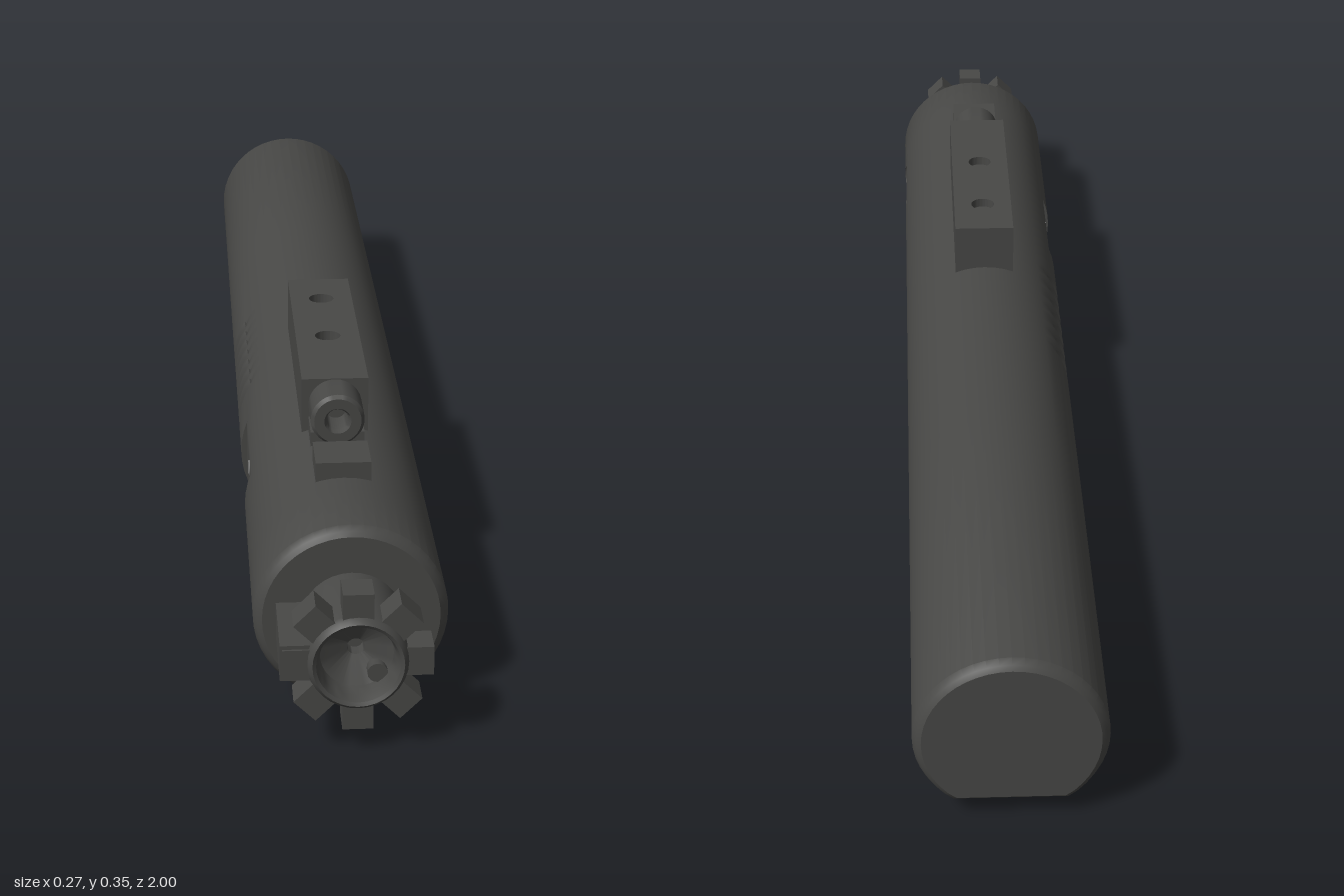
import * as THREE from 'three';
import { toCreasedNormals } from 'three/addons/utils/BufferGeometryUtils.js';

const R = 0.1365, CY = 0.137, SIDES = 48;
const SLOT = { back: 0.55, front: 0.74, half: R * Math.sin(Math.PI / 12) };
const mat = new THREE.MeshStandardMaterial({ color: 0x484846, side: THREE.DoubleSide });
const pinMat = new THREE.MeshStandardMaterial({ color: 0xaaaaaa });

function add(parent, name, geo, x = 0, y = 0, z = 0, material = mat) {
  const mesh = new THREE.Mesh(geo, material);
  mesh.name = name;
  mesh.position.set(x, y, z);
  parent.add(mesh);
  return mesh;
}

// Lathe profile of [radius, z] points turned around the z axis
const turned = (pts, seg = 32) => toCreasedNormals(
  new THREE.LatheGeometry(pts.map(p => new THREE.Vector2(p[0], p[1])), seg).rotateX(Math.PI / 2), 0.6);

// Round body lofted along z; each station may be cut flat on its -x side or underneath
function bodyGeometry() {
  const stations = [];
  const put = (z, s = 1, side = R, under = z < -0.4 ? 0.107 : R) => stations.push({ z, s, side, under });
  put(-1, 0); put(-1, 0.91); put(-0.995, 0.96); put(-0.985);
  put(-0.4, 1, R, 0.107); put(-0.4);
  // grip serrations
  for (let i = 0; i < 7; i++) {
    const z = -0.1 + i * 0.043;
    put(z); put(z + 0.008, 1, 0.115); put(z + 0.018, 1, 0.115); put(z + 0.032);
  }
  // side flat
  put(0.3); put(0.3, 1, 0.127); put(0.495, 1, 0.127); put(0.495);
  put(SLOT.back); put(SLOT.front);
  put(0.85); put(0.86, 0.96); put(0.865, 0.91); put(0.865, 0);

  const pos = [], idx = [];
  stations.forEach(({ z, s, side, under }, i) => {
    for (let j = 0; j < SIDES; j++) {
      const a = (j / SIDES) * Math.PI * 2;
      pos.push(s * Math.max(R * Math.cos(a), -side), s * Math.max(R * Math.sin(a), -under), z);
      // opening left for the slotted panel
      const open = z === SLOT.back && (j < 2 || j >= SIDES - 2);
      if (i === stations.length - 1 || open) continue;
      const k = (j + 1) % SIDES, p = i * SIDES, q = p + SIDES;
      idx.push(p + j, p + k, q + k, p + j, q + k, q + j);
    }
  });
  const g = new THREE.BufferGeometry();
  g.setAttribute('position', new THREE.Float32BufferAttribute(pos, 3));
  g.setIndex(idx);
  return toCreasedNormals(g, 0.5);
}

// Curved panel on the +x side with a round-ended slot through it
function slotPanelGeometry() {
  const { back, front, half } = SLOT, depth = 0.045, h = 0.024;
  const rows = [-2, -1, 0, 1, 2].map(i => R * Math.sin(i * Math.PI / 24));
  const shape = new THREE.Shape([
    ...rows.map(v => new THREE.Vector2(-back, v)),
    ...rows.map(v => new THREE.Vector2(-front, -v)),
  ]);
  const hole = new THREE.Path();
  hole.absarc(-0.59, 0, h, -Math.PI / 2, Math.PI / 2, false);
  hole.absarc(-0.696, 0, h, Math.PI / 2, Math.PI * 1.5, false);
  shape.holes.push(hole);
  const g = new THREE.ExtrudeGeometry(shape, { depth, bevelEnabled: false, curveSegments: 8 });
  const p = g.attributes.position;
  for (let i = 0; i < p.count; i++) {
    const u = p.getX(i), v = p.getY(i), w = p.getZ(i);
    p.setXYZ(i, Math.sqrt(R * R - v * v) - depth + w, v, -u);
  }
  return toCreasedNormals(g, 0.5);
}

export function createModel() {
  const model = new THREE.Group();
  model.name = 'boltCarrier';

  const carrier = new THREE.Group();
  carrier.name = 'carrier';
  carrier.position.y = CY;
  model.add(carrier);
  add(carrier, 'carrierBody', bodyGeometry());
  add(carrier, 'slotPanel', slotPanelGeometry());
  add(carrier, 'slotFloor', new THREE.BoxGeometry(0.01, SLOT.half * 2, 0.19), 0.085, 0, 0.645);
  for (const y of [-0.028, 0.028]) {
    add(carrier, 'sidePin', new THREE.CylinderGeometry(0.012, 0.012, 0.01, 16).rotateZ(Math.PI / 2),
      -0.123, y, 0.425, pinMat);
  }

  // Bolt head: neck, rounded rim and conical face recess
  const bolt = new THREE.Group();
  bolt.name = 'bolt';
  bolt.position.y = CY;
  model.add(bolt);
  add(bolt, 'boltHead', turned([
    [0.07, 0.84], [0.07, 0.985], [0.067, 0.995], [0.062, 1], [0.057, 0.997],
    [0.053, 0.985], [0.05, 0.965], [0.012, 0.945], [0.012, 0.925], [0, 0.925],
  ]));
  add(bolt, 'ejector', new THREE.CylinderGeometry(0.014, 0.014, 0.04, 16).rotateX(Math.PI / 2),
    0.028, -0.028, 0.95);
  for (let i = 0; i < 8; i++) {
    const lug = new THREE.Group();
    lug.name = 'lockingLug';
    lug.rotation.z = i * Math.PI / 4;
    add(lug, 'lugBlock', new THREE.BoxGeometry(0.042, 0.042, 0.045), 0, 0.081, 0.968);
    bolt.add(lug);
  }
  add(bolt, 'extractor', new THREE.BoxGeometry(0.045, 0.053, 0.13), -0.0825, 0, 0.922);

  // Key block on top, with two screw wells
  const key = new THREE.Group();
  key.name = 'key';
  model.add(key);
  const plan = new THREE.Shape([[-0.05, -0.515], [0.05, -0.515], [0.05, -0.085], [-0.05, -0.085]]
    .map(p => new THREE.Vector2(...p)));
  for (const z of [0.175, 0.34]) {
    plan.holes.push(new THREE.Path().absarc(0, -z, 0.02, 0, Math.PI * 2, true));
    add(key, 'keyScrew', new THREE.CylinderGeometry(0.02, 0.02, 0.08, 20), 0, 0.295, z);
  }
  add(key, 'keyBlock', toCreasedNormals(
    new THREE.ExtrudeGeometry(plan, { depth: 0.1, bevelEnabled: false }).rotateX(-Math.PI / 2), 0.5), 0, 0.25, 0);

  // Key nose: hollow tube on a straight foot
  add(key, 'keyNose', turned([
    [0.04, 0.5], [0.04, 0.574], [0.035, 0.58], [0.02, 0.58], [0.016, 0.572], [0.016, 0.53], [0, 0.53],
  ]), 0, 0.309, 0);
  add(key, 'noseFoot', new THREE.BoxGeometry(0.08, 0.035, 0.07), 0, 0.272, 0.54);

  add(model, 'topStop', new THREE.BoxGeometry(0.08, 0.05, 0.075), 0, 0.272, 0.662);
  return model;
}
